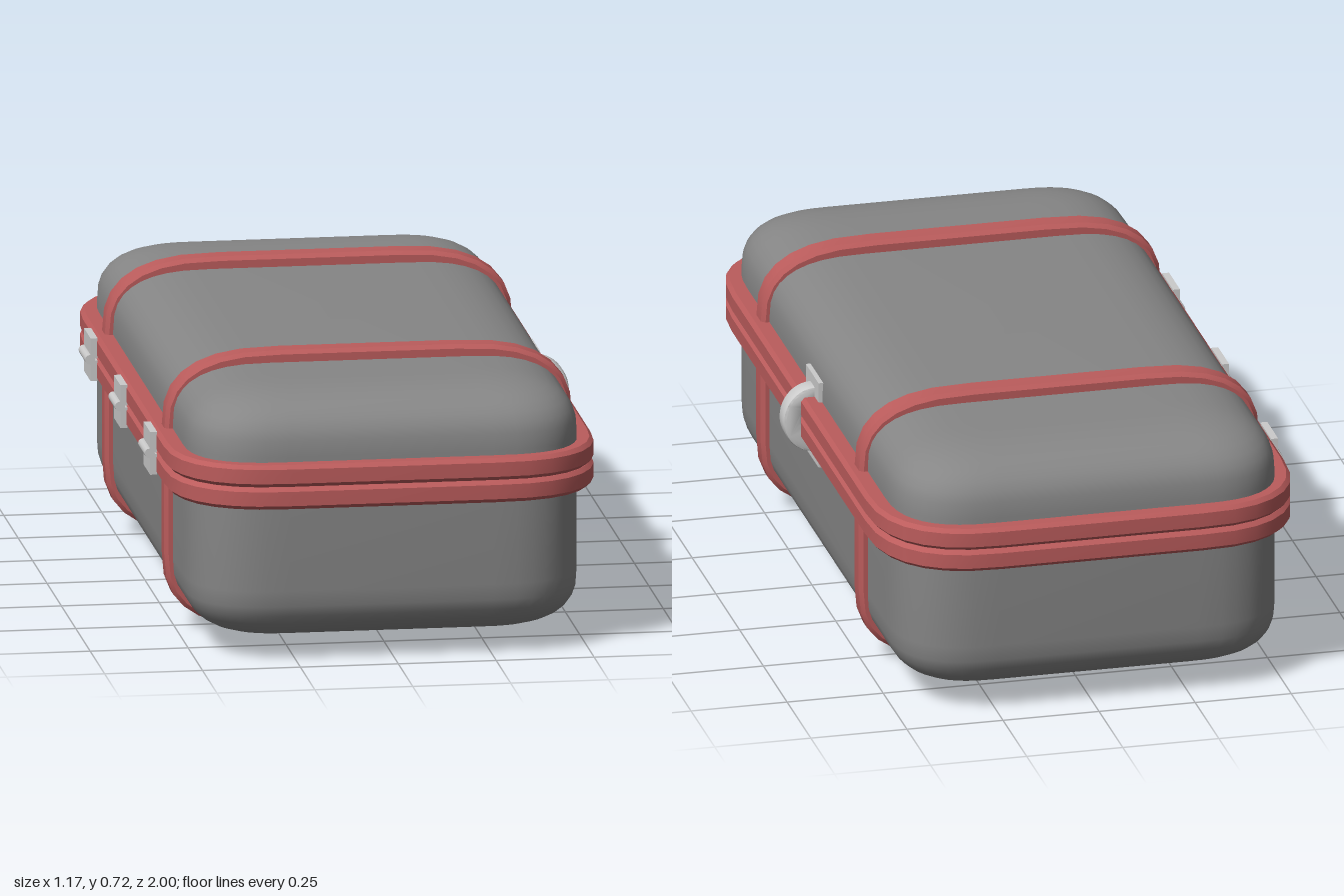
import * as THREE from 'three';
import { toCreasedNormals } from 'three/addons/utils/BufferGeometryUtils.js';

const grey = new THREE.MeshStandardMaterial({ color: 0xcccccc });
const shellGrey = new THREE.MeshStandardMaterial({ color: 0x868686, side: THREE.DoubleSide });
const red = new THREE.MeshStandardMaterial({ color: 0xbb5c5c, side: THREE.DoubleSide });

// Power of a sine or cosine that keeps its sign and ignores rounding noise
const soft = (v, n) => Math.pow(Math.max(v, 0), 2 / n);

// Rectangle outline with superelliptic corners, as [a, b] pairs
function outline(ha, hb, ra, rb, n, seg) {
  const pts = [];
  for (let q = 0; q < 4; q++) {
    const sa = q === 0 || q === 3 ? 1 : -1;
    const sb = q < 2 ? 1 : -1;
    for (let i = 0; i <= seg; i++) {
      const t = ((q % 2 ? seg - i : i) / seg) * Math.PI / 2;
      pts.push([sa * (ha - ra + ra * soft(Math.cos(t), n)), sb * (hb - rb + rb * soft(Math.sin(t), n))]);
    }
  }
  return pts;
}

// Skin over stacked rings { y, pts }, each closed on itself
function loft(rings, crease) {
  const m = rings[0].pts.length;
  const pos = rings.flatMap(r => r.pts.flatMap(([a, b]) => [a, r.y, b]));
  const index = [];
  for (let i = 0; i < rings.length - 1; i++) {
    for (let j = 0; j < m; j++) {
      const k = (j + 1) % m;
      const a = i * m + j, b = i * m + k, c = a + m, d = b + m;
      index.push(a, c, b, b, c, d);
    }
  }
  const g = new THREE.BufferGeometry();
  g.setAttribute('position', new THREE.Float32BufferAttribute(pos, 3));
  g.setIndex(index);
  return toCreasedNormals(g, crease);
}

// Half of the case: straight wall from the seam, rounding into a flat cap
function shellHalf(yCap, ySeam) {
  const n = 2.7, steps = 9, dir = Math.sign(yCap - ySeam);
  const ring = (k, y) => ({
    y, pts: outline(0.25 + 0.25 * k, 0.68 + 0.28 * k, 0.03 + 0.21 * k, 0.03 + 0.21 * k, n, 10),
  });
  const rings = [ring(1, ySeam)];
  for (let i = 0; i <= steps; i++) {
    const t = (i / steps) * Math.PI / 2;
    rings.push(ring(soft(Math.cos(t), n), yCap - dir * 0.15 * (1 - soft(Math.sin(t), n))));
  }
  const last = rings[rings.length - 1];
  rings.push({ y: yCap, pts: last.pts.map(() => [0, 0]) });
  if (dir < 0) rings.reverse();
  return loft(rings, 1);
}

// Bevelled hoop that follows an outline
function hoop(ha, hb, ra, rb, n, width, depth, bevel) {
  const w = width / 2;
  const profile = [[depth, -w], [bevel, -w], [0, -w + bevel], [0, w - bevel], [bevel, w], [depth, w]];
  return loft(profile.map(([d, y]) => ({
    y, pts: outline(ha - d, hb - d, ra - d, rb - d, n, 7),
  })), 0.6);
}

export function createModel() {
  const model = new THREE.Group();
  model.name = 'travelCase';
  const add = (name, geo, mat, x = 0, y = 0, z = 0) => {
    const mesh = new THREE.Mesh(geo, mat);
    mesh.name = name;
    mesh.position.set(x, y, z);
    model.add(mesh);
    return mesh;
  };
  const cx = -0.01;
  const seam = 0.468;

  // Case halves
  add('base', shellHalf(0.04, seam), shellGrey, cx);
  add('lid', shellHalf(0.688, seam), shellGrey, cx);

  // Twin rims that meet at the seam
  const rim = hoop(0.545, 1, 0.285, 0.3, 2.5, 0.057, 0.09, 0.01);
  add('baseRim', rim, red, cx, seam - 0.029);
  add('lidRim', rim, red, cx, seam + 0.029);

  // Straps round the case
  const strap = hoop(0.521, 0.358, 0.3, 0.2, 2.7, 0.066, 0.06, 0.01);
  strap.rotateX(-Math.PI / 2);
  for (const [name, z] of [['frontStrap', 0.521], ['backStrap', -0.514]]) {
    add(name, strap, red, cx, 0.36, z);
  }

  // Carrying handle: back plate and half-oval grip
  add('handlePlate', new THREE.BoxGeometry(0.025, 0.23, 0.135), grey, 0.487, 0.463, 0);
  const grip = new THREE.Shape();
  grip.moveTo(0, -0.081);
  grip.absellipse(0, 0, 0.075, 0.081, -Math.PI / 2, Math.PI / 2, false);
  grip.lineTo(0, 0.05);
  grip.absellipse(0, 0, 0.042, 0.05, Math.PI / 2, -Math.PI / 2, true);
  grip.closePath();
  const gripGeo = new THREE.ExtrudeGeometry(grip, {
    depth: 0.036, bevelThickness: 0.008, bevelSize: 0.007, bevelSegments: 2, curveSegments: 12,
  });
  gripGeo.translate(0, 0, -0.018);
  add('handleGrip', toCreasedNormals(gripGeo, 0.7), grey, 0.498, 0.463, 0);

  // Hinges: two leaves and a pin on the opposite side
  const leaf = new THREE.BoxGeometry(0.018, 0.053, 0.115);
  const pin = new THREE.CylinderGeometry(0.013, 0.013, 0.115, 12);
  pin.rotateX(Math.PI / 2);
  for (const z of [-0.517, 0, 0.517]) {
    add('hingeLowerLeaf', leaf, grey, -0.562, seam - 0.029, z);
    add('hingeUpperLeaf', leaf, grey, -0.562, seam + 0.029, z);
    add('hingePin', pin, grey, -0.572, seam, z);
  }
  return model;
}
